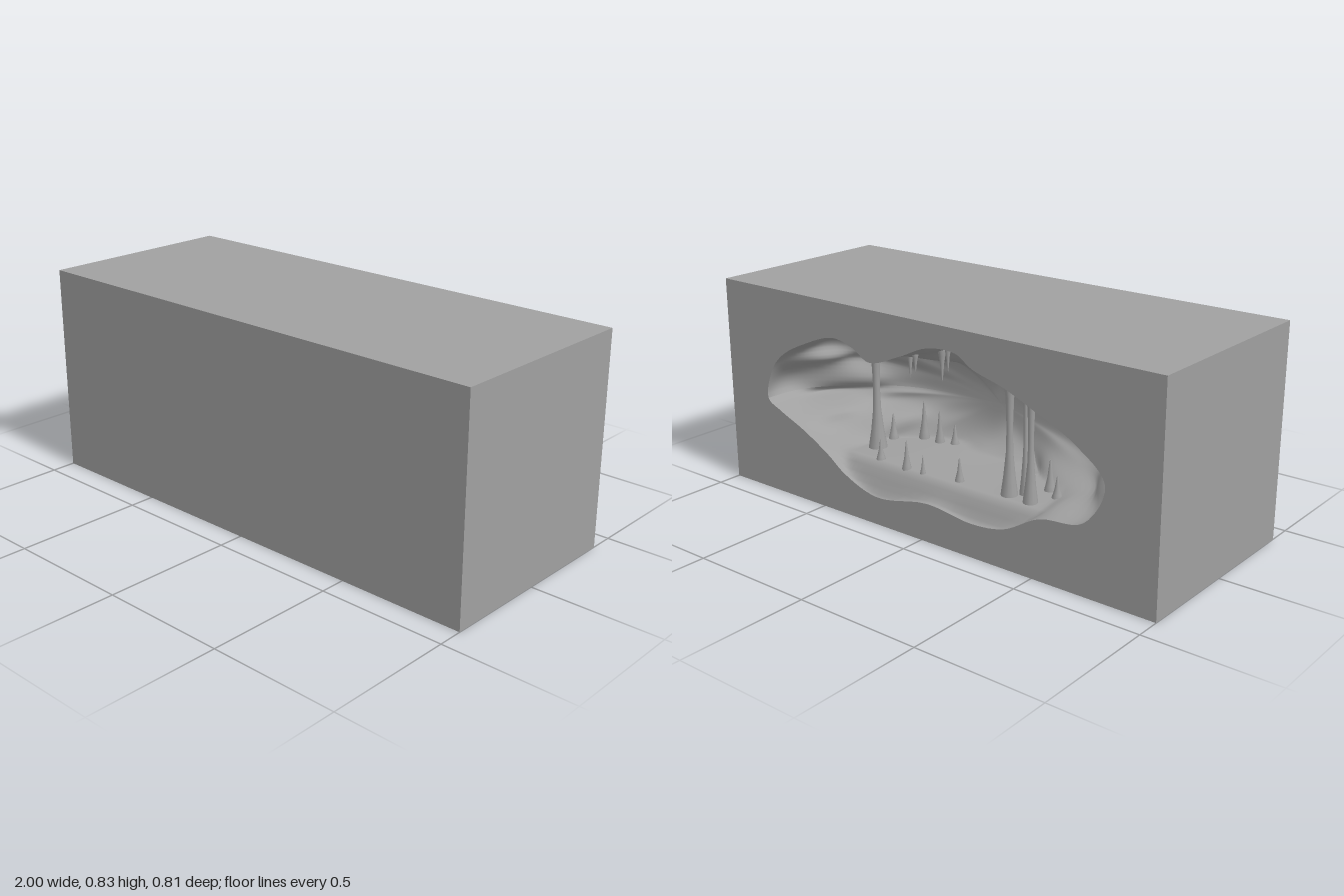
import * as THREE from 'three';

const W = 2, H = 0.828, BACK = -0.403, DEPTH = 0.47;
const CENTER = new THREE.Vector2(0, 0.4);

// Mouth of the cave on the back face, as x, y
const MOUTH = [
  [0.79, 0.38], [0.76, 0.5], [0.7, 0.57], [0.57, 0.64], [0.42, 0.69], [0.32, 0.67], [0.24, 0.63],
  [0.09, 0.68], [-0.04, 0.735], [-0.17, 0.74], [-0.24, 0.7], [-0.38, 0.66], [-0.5, 0.61],
  [-0.67, 0.53], [-0.79, 0.42], [-0.71, 0.265], [-0.53, 0.23], [-0.38, 0.15], [-0.24, 0.13],
  [-0.03, 0.15], [0.22, 0.11], [0.38, 0.16], [0.47, 0.22], [0.6, 0.29], [0.72, 0.34],
];

export function createModel() {
  const model = new THREE.Group();
  const rock = new THREE.MeshStandardMaterial({ color: 0xa0a0a0, side: THREE.DoubleSide });
  rock.name = 'grey rock';
  const add = (name, geometry, x = 0, y = 0, z = 0) => {
    const mesh = new THREE.Mesh(geometry, rock);
    mesh.name = name;
    mesh.position.set(x, y, z);
    mesh.updateMatrixWorld();
    model.add(mesh);
    return mesh;
  };

  // Block: five faces of a box, the back left open
  const block = new THREE.BoxGeometry(W, H, -2 * BACK);
  block.setIndex(Array.from(block.index.array).slice(0, 30));
  block.clearGroups();
  add('rockBlock', block, 0, H / 2, 0);

  const SEG = 150, RINGS = 40;
  const rim = new THREE.CatmullRomCurve3(
    MOUTH.map(([x, y]) => new THREE.Vector3(x, y, 0)), true, 'centripetal').getPoints(SEG);

  // Back face with the mouth cut out (x mirrored, then turned to face the back)
  const face = new THREE.Shape([
    new THREE.Vector2(-1, 0), new THREE.Vector2(1, 0),
    new THREE.Vector2(1, H), new THREE.Vector2(-1, H),
  ]);
  face.holes.push(new THREE.Path(rim.slice(0, SEG).map((p) => new THREE.Vector2(-p.x, p.y))));
  add('backFace', new THREE.ShapeGeometry(face).rotateY(Math.PI), 0, 0, BACK);

  // Cave wall: the mouth shrinks inward ring by ring, with a level floor behind a rounded lip
  const cave = new THREE.PlaneGeometry(1, 1, SEG, RINGS);
  const pos = cave.attributes.position;
  for (let j = 0; j <= RINGS; j++) {
    const a = (j / RINGS) ** 1.15 * Math.PI / 2;
    const r = Math.max(0, Math.cos(a)) ** (2 / 3);
    const d = DEPTH * Math.sin(a);
    const floor = 0.1 + 0.12 * THREE.MathUtils.smoothstep(d, -0.01, 0.075);
    for (let i = 0; i <= SEG; i++) {
      const p = rim[i], t = (i / SEG) * Math.PI * 2;
      const bump = Math.sin(2 * a) * (0.05 * Math.sin(9 * t + 5 * a) + 0.03 * Math.sin(17 * t - 4 * a));
      const s = r * (1 + bump);
      const x = CENTER.x + (p.x - CENTER.x) * s;
      let y = CENTER.y + (p.y - CENTER.y) * s;
      if (j > 0) y = Math.max(y, floor + 0.006 * Math.sin(9 * x) * Math.sin(a));
      pos.setXYZ(i + j * (SEG + 1), x, y, BACK + d);
    }
  }
  cave.computeVertexNormals();
  const caveMesh = add('caveWall', cave);

  // Finds the floor (dir -1) or ceiling (dir 1) of the cave
  const surfaceAt = (x, z, dir) => {
    const ray = new THREE.Raycaster(new THREE.Vector3(x, 0.38, z), new THREE.Vector3(0, dir, 0));
    const hit = ray.intersectObject(caveMesh)[0];
    return hit ? hit.point.y : null;
  };
  const lathe = (profile, r, h) => new THREE.LatheGeometry(
    profile.map(([a, b]) => new THREE.Vector2(a * r, b * h)), 12);

  const SPIKE = [[1, -0.08], [1, 0], [0.8, 0.15], [0.5, 0.4], [0.3, 0.7], [0.15, 0.92], [0, 1]];
  const PILLAR = [[1.1, -0.03], [1, 0.03], [0.75, 0.15], [0.45, 0.35], [0.38, 0.55], [0.5, 0.8], [0.85, 0.95], [1.1, 1.04]];

  // Stalagmites: x, z, height, radius
  for (const [x, z, h, r] of [
    [0.28, -0.31, 0.08, 0.018], [0.14, -0.32, 0.11, 0.018], [0.06, -0.32, 0.07, 0.011],
    [-0.09, -0.29, 0.09, 0.018], [0.4, -0.11, 0.1, 0.02], [0.3, -0.04, 0.15, 0.022],
    [0.22, -0.04, 0.13, 0.02], [0.16, -0.02, 0.08, 0.018], [-0.24, -0.05, 0.1, 0.022],
    [-0.4, -0.16, 0.12, 0.022], [-0.46, -0.2, 0.08, 0.02],
  ]) {
    const y = surfaceAt(x, z, -1);
    if (y !== null) add('stalagmite', lathe(SPIKE, r, h), x, y, z);
  }

  // Stalactites: x, z, length, radius
  for (const [x, z, h, r] of [
    [0.42, -0.2, 0.08, 0.014], [0.32, -0.22, 0.08, 0.014], [0.24, -0.18, 0.1, 0.014],
    [0.16, -0.24, 0.07, 0.012], [0.1, -0.16, 0.12, 0.016], [0.02, -0.22, 0.1, 0.014],
    [-0.08, -0.25, 0.08, 0.013], [-0.18, -0.18, 0.09, 0.014], [-0.28, -0.24, 0.1, 0.014],
    [-0.36, -0.2, 0.09, 0.014], [-0.45, -0.26, 0.08, 0.013],
  ]) {
    const y = surfaceAt(x, z, 1);
    if (y !== null) add('stalactite', lathe(SPIKE, r, h).rotateX(Math.PI), x, y, z);
  }

  // Columns joining floor and ceiling: x, z, radius
  for (const [x, z, r] of [
    [0.38, -0.22, 0.035], [-0.31, -0.28, 0.03], [-0.35, -0.24, 0.02], [-0.41, -0.29, 0.026],
  ]) {
    const low = surfaceAt(x, z, -1), high = surfaceAt(x, z, 1);
    if (low !== null && high !== null) add('column', lathe(PILLAR, r, high - low), x, low, z);
  }

  return model;
}
